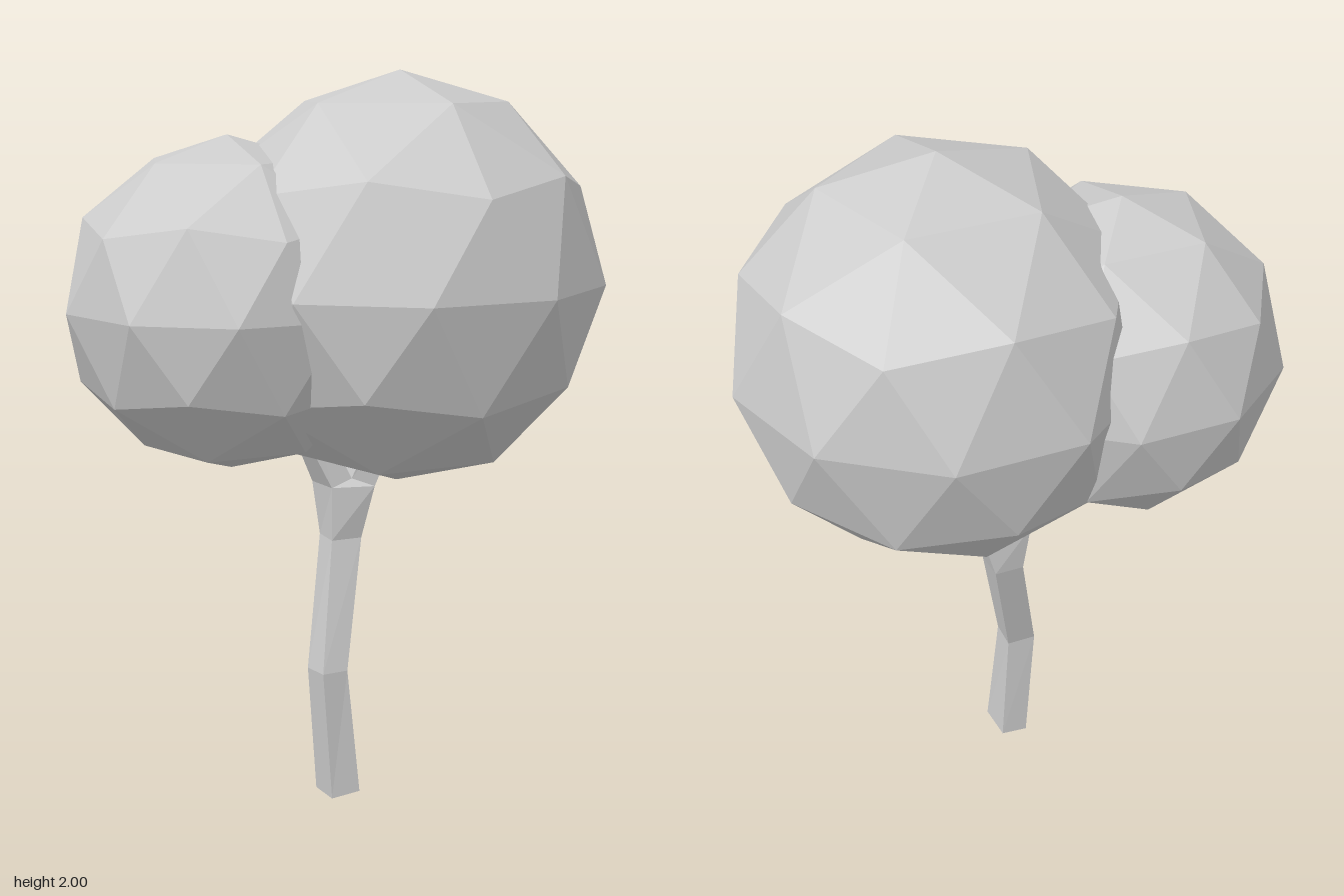
import * as THREE from 'three';

const material = new THREE.MeshStandardMaterial({ color: 0xcccccc, flatShading: true });

// Faceted ball of leaves with a vertex at the top and bottom
function makeCrown(name, radius, x, y, z) {
  const geometry = new THREE.IcosahedronGeometry(radius, 1);
  geometry.rotateZ(-Math.atan(2 / (1 + Math.sqrt(5))));
  geometry.computeVertexNormals();
  const mesh = new THREE.Mesh(geometry, material);
  mesh.name = name;
  mesh.position.set(x, y, z);
  return mesh;
}

// Closed four-sided limb through rings of corners:
// front left, front right, back right, back left as seen from the front
function makeLimb(name, rings) {
  const positions = [];
  const quad = (a, b, c, d) => positions.push(...a, ...b, ...c, ...a, ...c, ...d);
  for (let r = 0; r < rings.length - 1; r++) {
    for (let i = 0; i < 4; i++) {
      const j = (i + 1) % 4;
      quad(rings[r][i], rings[r][j], rings[r + 1][j], rings[r + 1][i]);
    }
  }
  const [a, b, c, d] = rings[0];
  quad(d, c, b, a);
  quad(...rings[rings.length - 1]);
  const geometry = new THREE.BufferGeometry();
  geometry.setAttribute('position', new THREE.Float32BufferAttribute(positions, 3));
  geometry.computeVertexNormals();
  const mesh = new THREE.Mesh(geometry, material);
  mesh.name = name;
  return mesh;
}

export function createModel() {
  const tree = new THREE.Group();
  tree.name = 'tree';

  // Leaves
  tree.add(makeCrown('largeCrown', 0.555, 0.175, 1.445, 0));
  tree.add(makeCrown('smallCrown', 0.443, -0.285, 1.393, 0.05));

  // Crooked trunk
  const fork = [[-0.01, 0.88, 0.04], [0.11, 0.88, 0.03], [0.085, 0.88, -0.07], [-0.055, 0.88, -0.05]];
  tree.add(makeLimb('trunk', [
    [[-0.02, 0.004, 0.13], [0.06, 0.014, 0.11], [0.02, 0.01, 0.015], [-0.055, 0, 0.04]],
    [[-0.045, 0.375, 0.135], [0.025, 0.375, 0.11], [0, 0.37, 0.035], [-0.08, 0.37, 0.06]],
    [[-0.01, 0.73, 0.04], [0.075, 0.73, 0.015], [0.045, 0.73, -0.065], [-0.035, 0.73, -0.04]],
    fork,
  ]));

  // Two short branches reaching into the leaves
  const [a, b, c, d] = fork;
  const frontNotch = [0.045, 0.905, 0.035], backNotch = [0.02, 0.905, -0.06];
  tree.add(makeLimb('rightBranch', [
    [a, frontNotch, backNotch, d],
    [[-0.13, 1.12, 0.05], [-0.07, 1.14, 0.04], [-0.09, 1.14, -0.04], [-0.15, 1.12, -0.03]],
  ]));
  tree.add(makeLimb('leftBranch', [
    [frontNotch, b, c, backNotch],
    [[0.14, 1.12, 0.04], [0.2, 1.1, 0.03], [0.18, 1.1, -0.05], [0.12, 1.12, -0.04]],
  ]));

  return tree;
}
